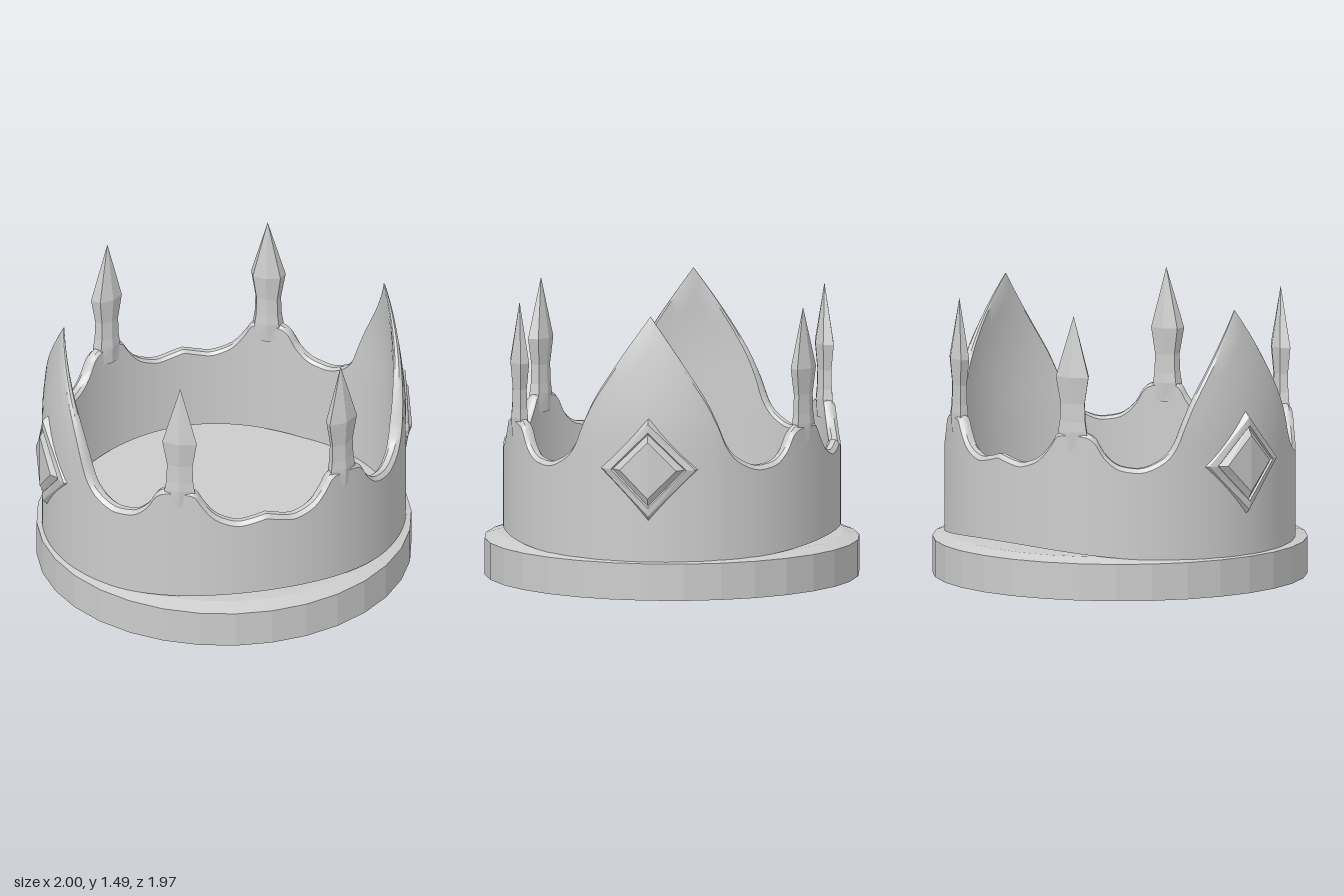
import * as THREE from 'three';
import { toCreasedNormals } from 'three/addons/utils/BufferGeometryUtils.js';

// Skin a series of closed cross-sections; wrap joins the last one to the first.
function loft(rings, wrap = false) {
  const n = rings[0].length, m = rings.length, index = [];
  for (let i = 0; i < (wrap ? m : m - 1); i++) {
    for (let j = 0; j < n; j++) {
      const i2 = (i + 1) % m, j2 = (j + 1) % n;
      const a = i * n + j, b = i2 * n + j, c = i2 * n + j2, d = i * n + j2;
      index.push(a, d, c, a, c, b);
    }
  }
  const geo = new THREE.BufferGeometry();
  geo.setAttribute('position', new THREE.Float32BufferAttribute(rings.flat(2), 3));
  geo.setIndex(index);
  return geo;
}

function faceted(geo) {
  const flat = geo.toNonIndexed();
  flat.computeVertexNormals();
  return flat;
}

// Oval wall whose top edge rises into two tall side points
function bandGeometry() {
  // top edge over a quarter turn: degrees from the side, height
  const edge = new THREE.SplineCurve([
    [0, 1.49], [6.5, 1.36], [13, 1.22], [19.8, 1.06], [24, 0.93], [27, 0.82], [31, 0.745],
    [37.6, 0.695], [43, 0.695], [47.4, 0.715], [51.3, 0.77], [54, 0.84], [56.5, 0.87],
    [60, 0.88], [64, 0.88], [67, 0.87], [69.5, 0.81], [73.7, 0.735], [79.8, 0.695],
    [84, 0.70], [90, 0.725],
  ].map(([a, y]) => new THREE.Vector2(a, y))).getPoints(60).map((p) => [p.x, p.y]);
  const half = [...edge, ...edge.slice(0, -1).reverse().map(([a, y]) => [180 - a, y])];
  const columns = [...half.slice(0, -1), ...half.slice(0, -1).map(([a, y]) => [a + 180, y])];

  const rows = 8;
  const rings = columns.map(([deg, top]) => {
    const t = deg * Math.PI / 180, s = Math.sin(t);
    const bottom = 0.2 + 0.062 * s ** 4;
    // depth 0 is the outer skin, 1 the inner skin
    const point = (y, depth) => {
      const rise = Math.max(0, (y - 0.85) / 0.64);
      const lean = 1 - 0.089 * rise ** 1.5;
      const k = lean * (1 - depth * THREE.MathUtils.lerp(0.07, 0.012, Math.min(1, rise)));
      return [0.96 * k * Math.cos(t), y, 0.885 * k * s];
    };
    const ring = [];
    for (let i = 0; i <= rows; i++) ring.push(point(THREE.MathUtils.lerp(bottom, top - 0.022, i / rows), 0));
    ring.push(point(top, 0.3), point(top, 0.75));
    for (let i = rows; i >= 0; i--) ring.push(point(THREE.MathUtils.lerp(bottom, top - 0.015, i / rows), 1));
    return ring;
  });
  return toCreasedNormals(loft(rings, true), 0.6);
}

// Narrow-waisted blade
function spikeGeometry() {
  const section = [[0, 1], [1, 0.45], [0.8, -0.6], [0, -1], [-0.8, -0.6], [-1, 0.45]];
  const levels = [
    [0.78, 0.09, 0.04], [0.88, 0.08, 0.045], [0.93, 0.072, 0.04],
    [1.03, 0.068, 0.037], [1.17, 0.092, 0.05], [1.49, 0, 0],
  ];
  return faceted(loft(levels.map(([y, w, t]) => section.map(([x, z]) => [x * w, y, z * t]))));
}

// Stepped diamond plate, bent to follow the wall
function jewelGeometry() {
  const steps = [[0.27, 0.93], [0.27, 0.958], [0.245, 0.985], [0.2, 0.988], [0.19, 0.978], [0.15, 1.0], [0, 1.0]];
  const corners = [[1, 0], [0, 1], [-1, 0], [0, -1]];
  return faceted(loft(steps.map(([r, x]) =>
    corners.map(([y, z]) => [x - 0.06 * (z * r / 0.27) ** 2, 0.69 + y * r, z * r]))));
}

export function createModel() {
  const model = new THREE.Group();
  model.name = 'crown';
  const grey = new THREE.MeshStandardMaterial({ color: 0xcccccc });
  grey.name = 'light grey';
  const add = (name, geo) => {
    const mesh = new THREE.Mesh(geo, grey);
    mesh.name = name;
    model.add(mesh);
    return mesh;
  };

  // Solid round base with a shallow sloped top edge
  const profile = [[0, 0], [0.985, 0], [0.985, 0.195], [0.9, 0.22], [0, 0.22]];
  add('base', faceted(new THREE.LatheGeometry(profile.map(([x, y]) => new THREE.Vector2(x, y)), 32)));

  add('band', bandGeometry());

  // Four small spikes, turned to face outward
  const spike = spikeGeometry();
  for (const sx of [1, -1]) {
    for (const sz of [1, -1]) {
      const mesh = add(`${sz > 0 ? 'front' : 'back'}${sx > 0 ? 'Left' : 'Right'}Spike`, spike);
      mesh.position.set(0.435 * sx, 0, 0.75 * sz);
      mesh.rotation.y = Math.atan2(0.42 * sx, 0.91 * sz);
    }
  }

  // One jewel on each side
  const jewel = jewelGeometry();
  add('leftJewel', jewel);
  add('rightJewel', jewel).rotation.y = Math.PI;

  return model;
}
